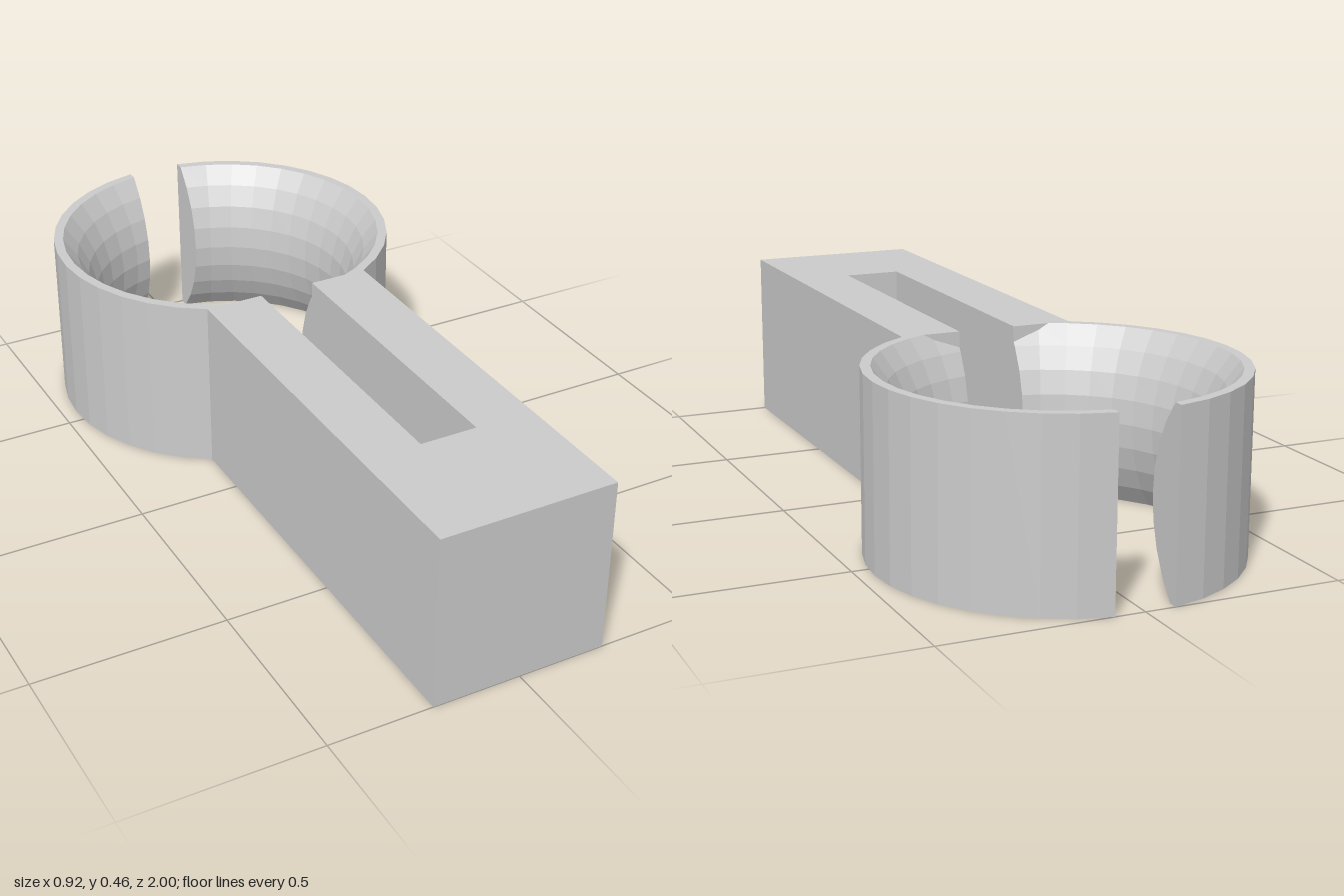
import * as THREE from 'three';

const H = 0.46;          // overall height
const SLOT = 0.075;      // half width of the slot
const R = 0.46;          // outer ring radius
const RIM = 0.435;       // bore radius at top and bottom
const WAIST = 0.347;     // bore radius at mid height
const RING_Z = -0.546;   // ring centre
const ARM_X = 0.23;      // half width of the arm
const ARM_BACK = -0.148;

// Jaw cross-section: straight outside, bore bulging inward on a circular arc
function jawProfile(rows = 8) {
  const sag = RIM - WAIST, half = H / 2;
  const rad = (half * half + sag * sag) / (2 * sag);
  const limit = Math.asin(half / rad);
  const pts = [[R, 0], [R, H]];
  for (let i = 0; i <= rows; i++) {
    const t = limit * (1 - (2 * i) / rows);
    pts.push([WAIST + rad - rad * Math.cos(t), half + rad * Math.sin(t)]);
  }
  return pts;
}

// Half ring swept in 10 degree steps, its ends cut flat along the slot
function jawGeometry() {
  const profile = jawProfile(), n = profile.length, steps = 16;
  const pos = [], index = [];
  for (let i = 0; i <= steps; i++) {
    for (const [r, y] of profile) {
      const cut = Math.asin(SLOT / r);
      const a = i === 0 ? cut : i === steps ? Math.PI - cut : ((i + 1) * Math.PI) / 18;
      pos.push(r * Math.sin(a), y, r * Math.cos(a));
    }
  }
  for (let i = 0; i < steps; i++) {
    for (let j = 0; j < n; j++) {
      const k = (j + 1) % n;
      const a = i * n + j, b = a + n, c = i * n + k, d = c + n;
      index.push(a, b, c, b, d, c);
    }
  }
  // End caps
  const e = steps * n;
  for (let j = 1; j < n - 1; j++) index.push(0, j, j + 1, e, e + j + 1, e + j);
  const geo = new THREE.BufferGeometry();
  geo.setAttribute('position', new THREE.Float32BufferAttribute(pos, 3));
  geo.setIndex(index);
  const flat = geo.toNonIndexed();
  flat.computeVertexNormals();
  return flat;
}

// Forked arm: U-shaped plan, open toward the ring
function armGeometry() {
  const plan = [
    [-ARM_X, 1], [ARM_X, 1], [ARM_X, ARM_BACK], [SLOT, ARM_BACK],
    [SLOT, 0.66], [-SLOT, 0.66], [-SLOT, ARM_BACK], [-ARM_X, ARM_BACK],
  ].map(([x, z]) => new THREE.Vector2(x, -z));
  const geo = new THREE.ExtrudeGeometry(new THREE.Shape(plan), { depth: H, bevelEnabled: false });
  return geo.rotateX(-Math.PI / 2);
}

export function createModel() {
  const group = new THREE.Group();
  group.name = 'springClip';
  const material = new THREE.MeshStandardMaterial({ color: 0xcccccc, flatShading: true });

  const arm = new THREE.Mesh(armGeometry(), material);
  arm.name = 'forkedArm';
  group.add(arm);

  // The right jaw is the left one turned half way round the ring centre
  const jaw = jawGeometry();
  [['leftJaw', 0], ['rightJaw', Math.PI]].forEach(([name, turn]) => {
    const mesh = new THREE.Mesh(jaw, material);
    mesh.name = name;
    mesh.position.z = RING_Z;
    mesh.rotation.y = turn;
    group.add(mesh);
  });
  return group;
}
